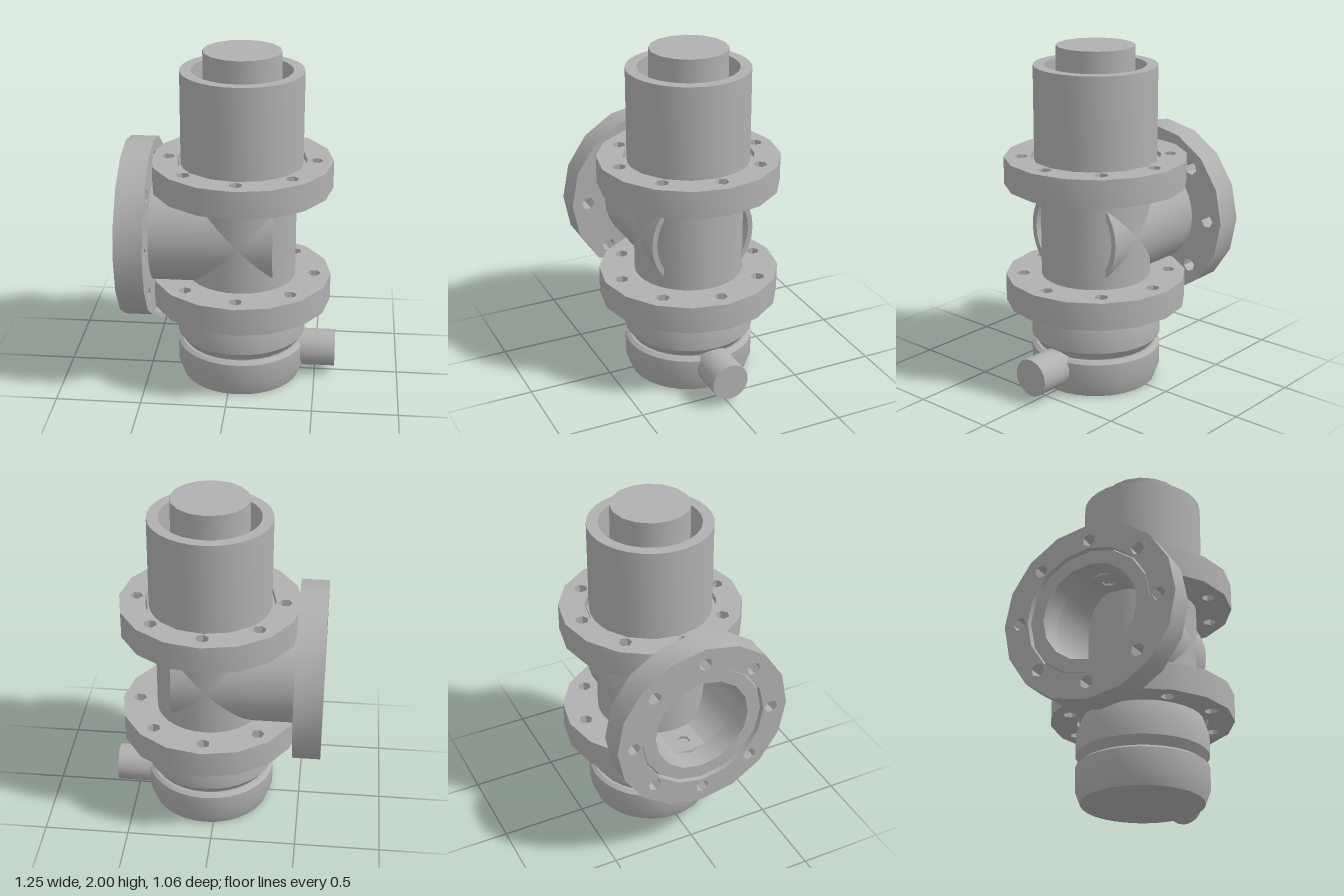
import * as THREE from 'three';
import { toCreasedNormals } from 'three/addons/utils/BufferGeometryUtils.js';

const AXIS_X = 0.05;   // main vertical axis
const PORT_Y = 0.92;   // height of the side port
const CREASE = Math.PI / 7;
const steel = new THREE.MeshStandardMaterial({ color: 0xb0b0b0 });
steel.name = 'steel';

function part(name, geometry) {
  const mesh = new THREE.Mesh(toCreasedNormals(geometry, CREASE), steel);
  mesh.name = name;
  return mesh;
}

// Turned solid from [radius, y] pairs, listed counterclockwise
function turned(name, points, sides = 32) {
  return part(name, new THREE.LatheGeometry(points.map(([r, y]) => new THREE.Vector2(r, y)), sides));
}

function tube(name, inner, outer, y0, y1) {
  return turned(name, [[inner, y0], [outer, y0], [outer, y1], [inner, y1], [inner, y0]]);
}

function polygon(PathType, cx, cy, radius, sides, turn = 0) {
  const points = [];
  for (let i = 0; i < sides; i++) {
    const a = turn + (i / sides) * Math.PI * 2;
    points.push(new THREE.Vector2(cx + radius * Math.cos(a), cy + radius * Math.sin(a)));
  }
  return new PathType(points);
}

// Bolted flange whose sealing face lies at local y = 0, facing up
function flange(name) {
  const group = new THREE.Group();
  group.name = name;
  const shape = polygon(THREE.Shape, 0, 0, 0.53, 16);
  shape.holes.push(polygon(THREE.Path, 0, 0, 0.38, 16));
  for (let i = 0; i < 8; i++) {
    const a = (i / 8) * Math.PI * 2;
    shape.holes.push(polygon(THREE.Path, 0.43 * Math.cos(a), 0.43 * Math.sin(a), 0.04, 6, a));
  }
  const plate = new THREE.ExtrudeGeometry(shape, { depth: 0.163, bevelEnabled: false });
  plate.rotateX(-Math.PI / 2);
  plate.translate(0, -0.163, 0);
  group.add(part('flangePlate', plate));
  // Recessed sealing ring, leaving a thin groove inside the plate
  group.add(turned('sealingRing', [
    [0.29, -0.163], [0.38, -0.163], [0.38, -0.04], [0.37, -0.02], [0.29, -0.02], [0.29, -0.163],
  ], 16));
  return group;
}

export function createModel() {
  const model = new THREE.Group();
  model.name = 'flangedTeeValve';

  const column = new THREE.Group();
  column.name = 'column';
  column.position.x = AXIS_X;
  model.add(column);

  // Vertical body, sleeve and central rod
  column.add(tube('mainPipe', 0.29, 0.32, 0.485, 1.36));
  column.add(tube('upperSleeve', 0.29, 0.355, 1.34, 1.89));
  const rod = part('centralRod', new THREE.CylinderGeometry(0.225, 0.225, 0.64, 16));
  rod.position.y = 1.68;
  column.add(rod);

  // Flanges at the top and bottom of the body
  const upper = flange('upperFlange');
  upper.position.y = 1.36;
  const lower = flange('lowerFlange');
  lower.position.y = 0.485;
  lower.rotation.x = Math.PI;
  column.add(upper, lower);

  // Two stacked bottom housings with a groove between them
  column.add(turned('upperHousing', [
    [0, 0.23], [0.345, 0.23], [0.382, 0.28], [0.382, 0.4], [0.352, 0.49], [0, 0.49],
  ]));
  column.add(turned('lowerHousing', [
    [0, 0], [0.352, 0], [0.382, 0.08], [0.382, 0.208], [0.36, 0.225], [0, 0.225],
  ]));
  column.add(turned('grooveCore', [[0, 0.2], [0.345, 0.2], [0.345, 0.25], [0, 0.25]]));

  // Side port: pipe through the body with its own flange
  const port = new THREE.Group();
  port.name = 'sidePort';
  port.position.set(-0.625, PORT_Y, 0);
  port.rotation.z = Math.PI / 2;
  port.add(tube('sidePipe', 0.29, 0.32, -0.875, -0.03), flange('sideFlange'));
  model.add(port);

  // Small outlet stub on the bottom housing
  const stub = part('outletStub', new THREE.CylinderGeometry(0.111, 0.111, 0.32, 32));
  stub.rotation.z = Math.PI / 2;
  stub.position.set(0.46, 0.153, 0);
  model.add(stub);

  return model;
}
